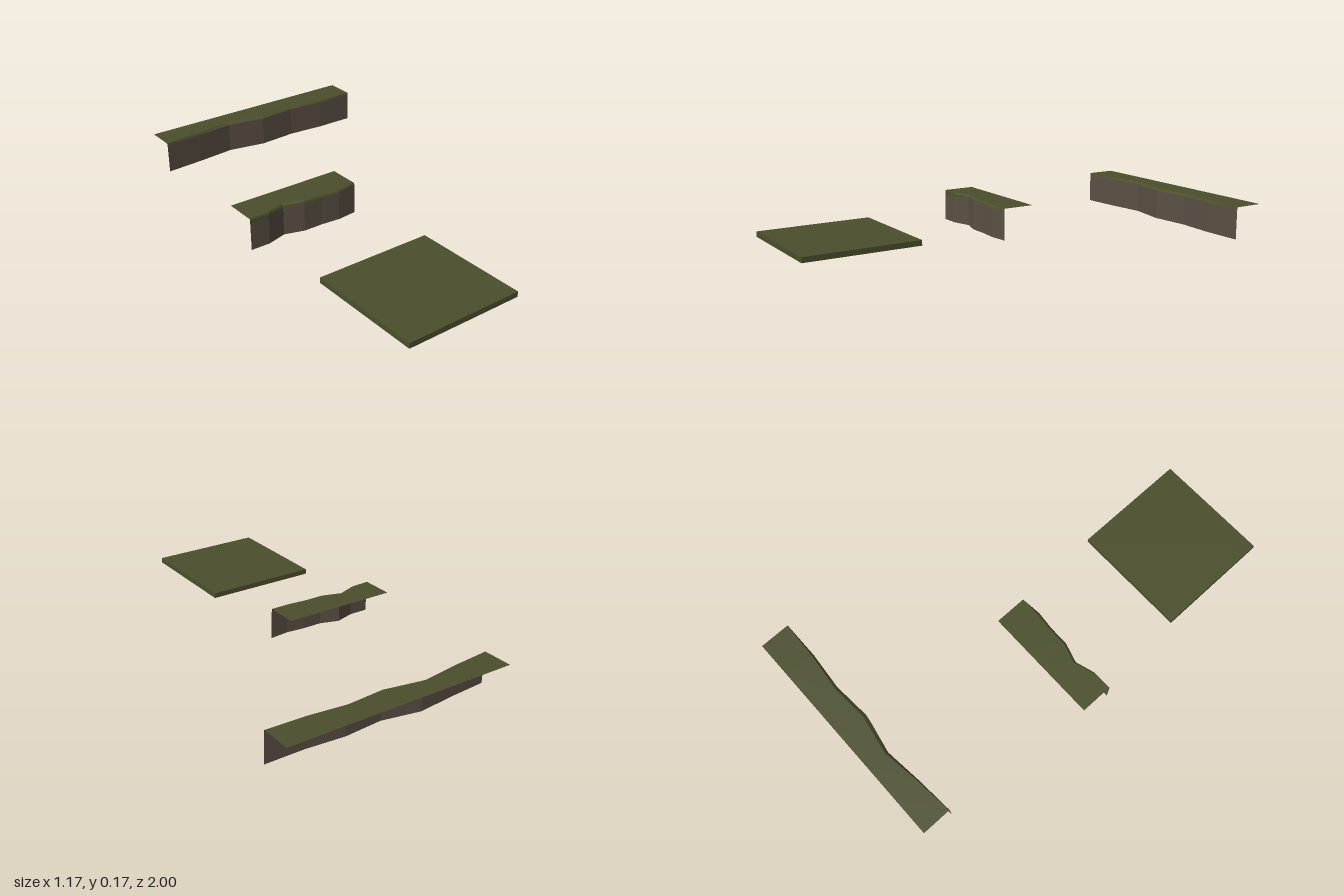
import * as THREE from 'three';

const grass = new THREE.MeshStandardMaterial({ color: 0x4b4f2c, side: THREE.DoubleSide, flatShading: true });
grass.name = 'mossGreen';
const rock = new THREE.MeshStandardMaterial({ color: 0x5b5044, side: THREE.DoubleSide, flatShading: true });
rock.name = 'earthBrown';

// Skin a list of rows (each a list of [x, y, z]) into a sheet; rows run back to front, top to bottom
function sheet(name, rows, material) {
  const n = rows[0].length, index = [];
  for (let r = 0; r < rows.length - 1; r++) {
    for (let i = 0; i < n - 1; i++) {
      const a = r * n + i, b = a + n;
      index.push(a, b, a + 1, a + 1, b, b + 1);
    }
  }
  const geometry = new THREE.BufferGeometry();
  geometry.setAttribute('position', new THREE.Float32BufferAttribute(rows.flat(2), 3));
  geometry.setIndex(index);
  geometry.computeVertexNormals();
  const mesh = new THREE.Mesh(geometry, material);
  mesh.name = name;
  return mesh;
}

// A thin terrain step: flat grass shelf, rounded grass lip and a wavy earth wall
function ledge(name, { x0, x1, base, top, back, edge, inset, lip }) {
  const group = new THREE.Group();
  group.name = name;
  const row = (y, z) => edge.map((e, i) => [
    THREE.MathUtils.lerp(x0, x1, i / (edge.length - 1)), y(i), z(e, i),
  ]);
  const brow = row(() => top, (e, i) => e - inset[i]);
  const shoulder = row(() => top - 0.007, (e, i) => e - inset[i] * 0.25);
  const fringe = row((i) => top - lip[i], (e) => e);
  const foot = row(() => base, (e) => e);
  group.add(
    sheet('grassShelf', [row(() => top, () => back), brow], grass),
    sheet('grassLip', [brow, shoulder, fringe], grass),
    sheet('earthWall', [fringe, foot], rock),
  );
  return group;
}

export function createModel() {
  const model = new THREE.Group();

  // Loose square ground tile
  const tile = new THREE.Mesh(new THREE.BoxGeometry(0.55, 0.025, 0.55), grass);
  tile.name = 'groundTile';
  tile.position.set(-0.268, 0.056, 0.725);
  model.add(tile);

  // Short and long ledges
  model.add(ledge('shortLedge', {
    x0: -0.585, x1: -0.03, base: 0, top: 0.15, back: -0.15,
    edge: [0.005, 0.005, -0.022, 0.006, 0.006, 0.014, 0.004],
    inset: [0.002, 0.006, 0.012, 0.012, 0.012, 0.012, 0.002],
    lip: [0.02, 0.021, 0.017, 0.018, 0.015, 0.013, 0.009],
  }));
  model.add(ledge('longLedge', {
    x0: -0.515, x1: 0.582, base: 0.017, top: 0.167, back: -1,
    edge: [-0.859, -0.873, -0.893, -0.858, -0.872, -0.857, -0.857],
    inset: [0.002, 0.006, 0.012, 0.015, 0.012, 0.008, 0.002],
    lip: [0.01, 0.011, 0.01, 0.01, 0.01, 0.01, 0.009],
  }));
  return model;
}
